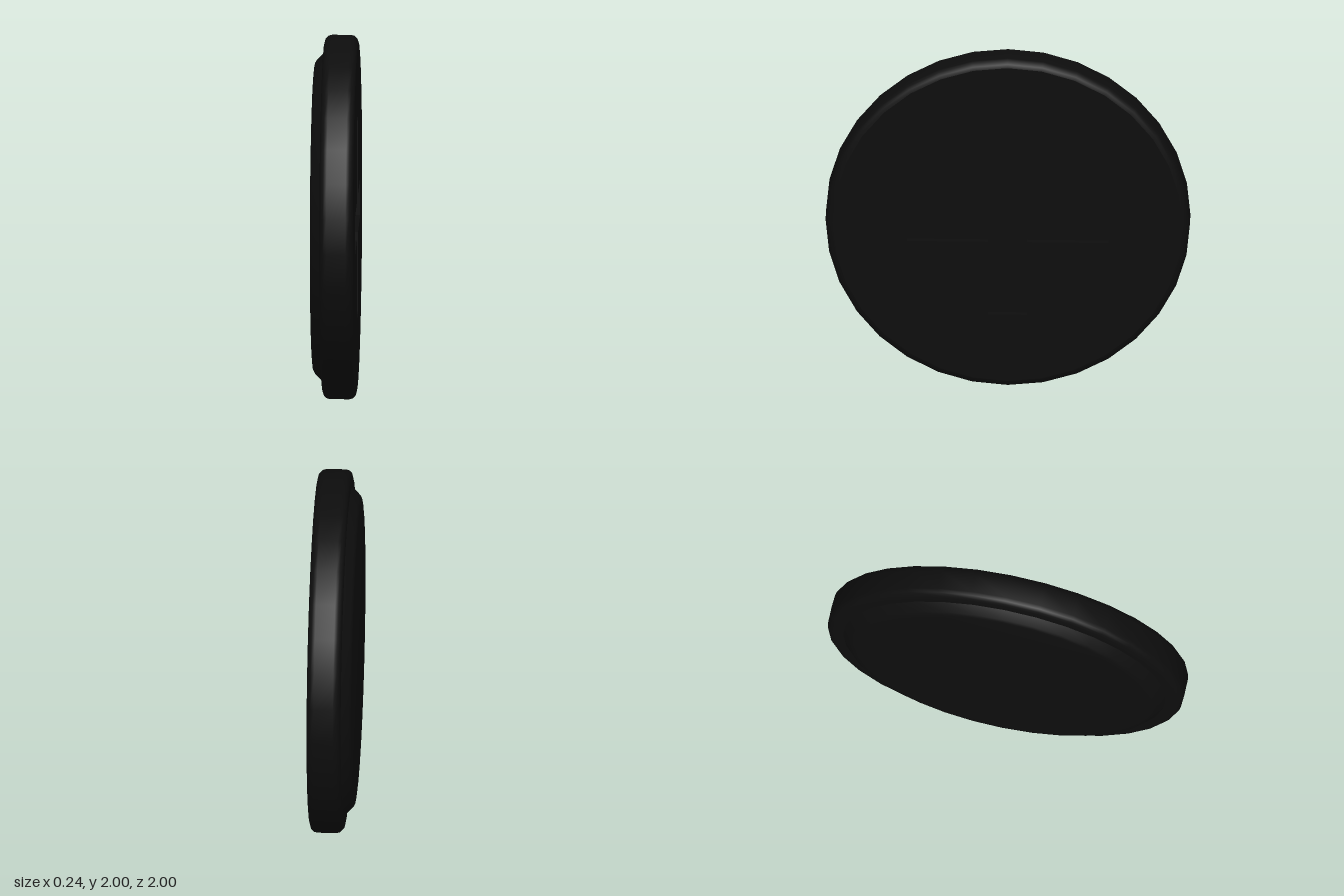
import * as THREE from 'three';
import { toCreasedNormals } from 'three/addons/utils/BufferGeometryUtils.js';

const SIDES = 32;
const FACE_X = 0.12; // outer face carrying the plus
const RECESS = 0.03; // depth of the plus
const ROUND = 0.04; // edge rounding of the can

// Outline of a plus with arm length a and half width w
function plusPoints(a, w) {
  const pts = [];
  for (let i = 0; i < 4; i++) {
    const c = new THREE.Vector2();
    for (const [x, y] of [[w, w], [w, a], [-w, a]]) {
      pts.push(new THREE.Vector2(x, y).rotateAround(c, (i * Math.PI) / 2));
    }
  }
  return pts;
}

// Quarter-round edge, from angle a0 (degrees)
function roundEdge(r, y, a0) {
  return [0, 1, 2, 3].map((i) => {
    const a = THREE.MathUtils.degToRad(a0 + i * 30);
    return new THREE.Vector2(r + ROUND * Math.cos(a), y + ROUND * Math.sin(a));
  });
}

export function createModel() {
  const group = new THREE.Group();
  const black = new THREE.MeshStandardMaterial({ color: 0x0d0d0d });
  black.name = 'black';

  const add = (name, geometry, x = 0) => {
    const mesh = new THREE.Mesh(geometry, black);
    mesh.name = name;
    mesh.position.set(x, 1, 0);
    group.add(mesh);
  };

  // Can with the stepped, bevelled cap on the -x side
  const profile = [
    new THREE.Vector2(0, -0.12),
    new THREE.Vector2(0.82, -0.12),
    new THREE.Vector2(0.845, -0.117),
    new THREE.Vector2(0.862, -0.107),
    new THREE.Vector2(0.905, -0.065),
    ...roundEdge(1 - ROUND, -0.065 + ROUND, -90),
    ...roundEdge(1 - ROUND, FACE_X - ROUND, 0),
  ];
  const can = new THREE.LatheGeometry(profile, SIDES).rotateZ(-Math.PI / 2);
  add('can', toCreasedNormals(can, 0.6));

  // Flat face with the plus cut through it
  const disc = new THREE.Shape();
  const rim = [];
  for (let i = 0; i < SIDES; i++) {
    const a = (i / SIDES) * Math.PI * 2;
    rim.push(new THREE.Vector2(Math.cos(a), Math.sin(a)).multiplyScalar(1 - ROUND));
  }
  disc.setFromPoints(rim);
  const plus = plusPoints(0.553, 0.107);
  disc.holes.push(new THREE.Path(plus));
  const face = new THREE.ExtrudeGeometry(disc, { depth: RECESS, bevelEnabled: false });
  add('face', face.rotateY(Math.PI / 2), FACE_X - RECESS);

  // Floor of the recessed plus
  const floor = new THREE.ShapeGeometry(new THREE.Shape(plus));
  add('plusFloor', floor.rotateY(Math.PI / 2), FACE_X - RECESS);

  return group;
}
